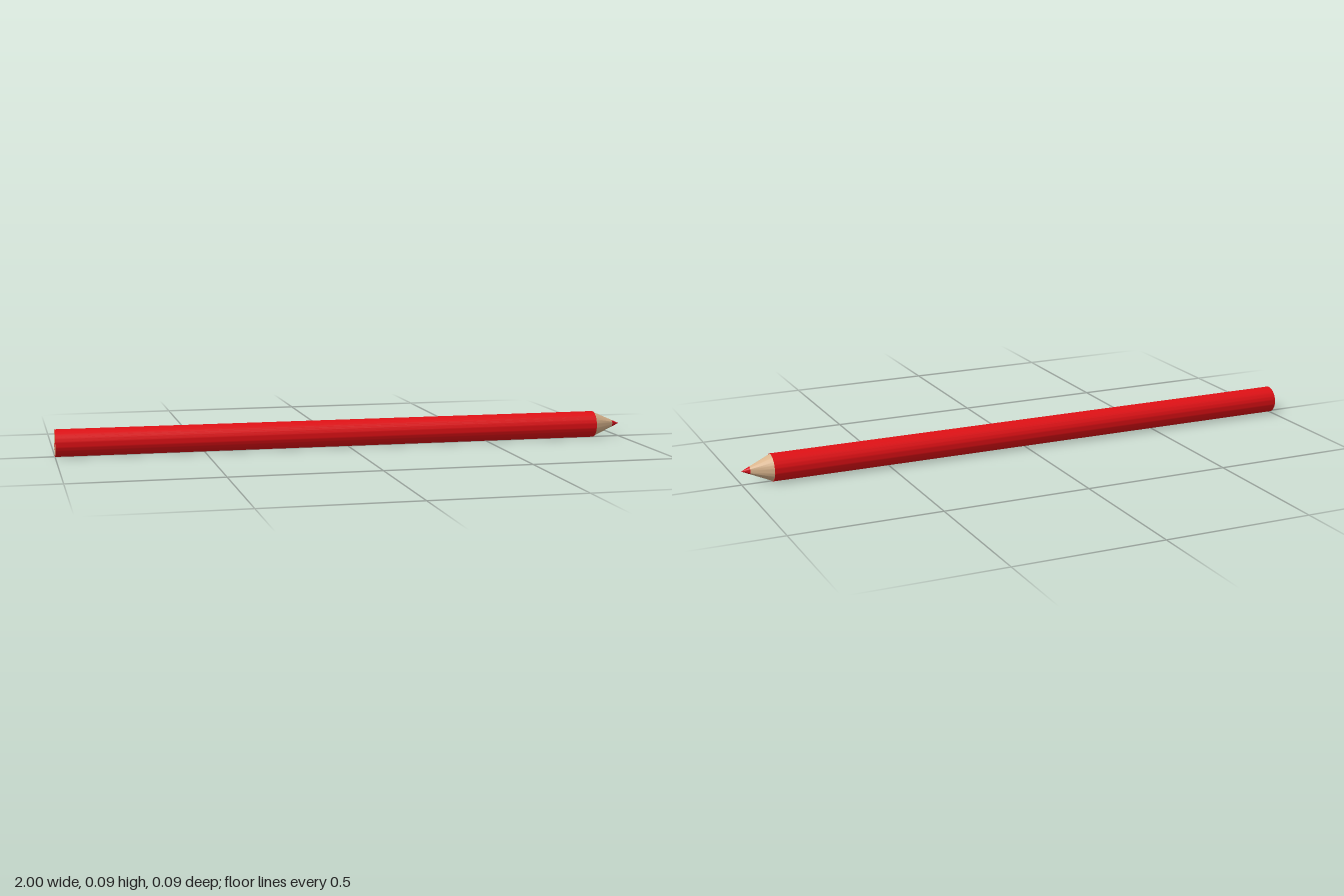
import * as THREE from 'three';
import { toCreasedNormals } from 'three/addons/utils/BufferGeometryUtils.js';

const RADIUS = 0.046;   // outside of the paint
const WOOD = 0.0442;    // wood under the paint
const CORE = 0.0125;    // coloured lead
const BACK = -1, SHOULDER = 0.9, LEAD_START = 0.972, TIP = 1;

// Turns a profile of [radius, distance along x] about the pencil's axis.
function turned(name, profile, color) {
  const points = profile.map(([r, x]) => new THREE.Vector2(r, x));
  const geometry = toCreasedNormals(new THREE.LatheGeometry(points, 48), 0.6);
  geometry.rotateZ(-Math.PI / 2);
  const mesh = new THREE.Mesh(geometry, new THREE.MeshStandardMaterial({ color }));
  mesh.name = name;
  return mesh;
}

export function createModel() {
  const pencil = new THREE.Group();
  pencil.name = 'pencil';

  // Thin painted sleeve with a narrow rim at each end
  pencil.add(turned('paintedBarrel', [
    [WOOD, BACK], [RADIUS, BACK], [RADIUS, SHOULDER], [WOOD, SHOULDER],
  ], 0xe01015));

  // Sharpened cone of bare wood, and the bare wood ring at the blunt end
  pencil.add(turned('sharpenedWood', [[WOOD, SHOULDER], [CORE, LEAD_START]], 0xd9b48c));
  pencil.add(turned('woodEnd', [[CORE, BACK], [WOOD, BACK]], 0xd9b48c));

  // Coloured lead showing at both ends
  pencil.add(turned('leadTip', [[CORE, LEAD_START], [0, TIP]], 0xd8101c));
  pencil.add(turned('leadEnd', [[0, BACK], [CORE, BACK]], 0xd8101c));

  pencil.position.y = RADIUS;
  const model = new THREE.Group();
  model.add(pencil);
  return model;
}
